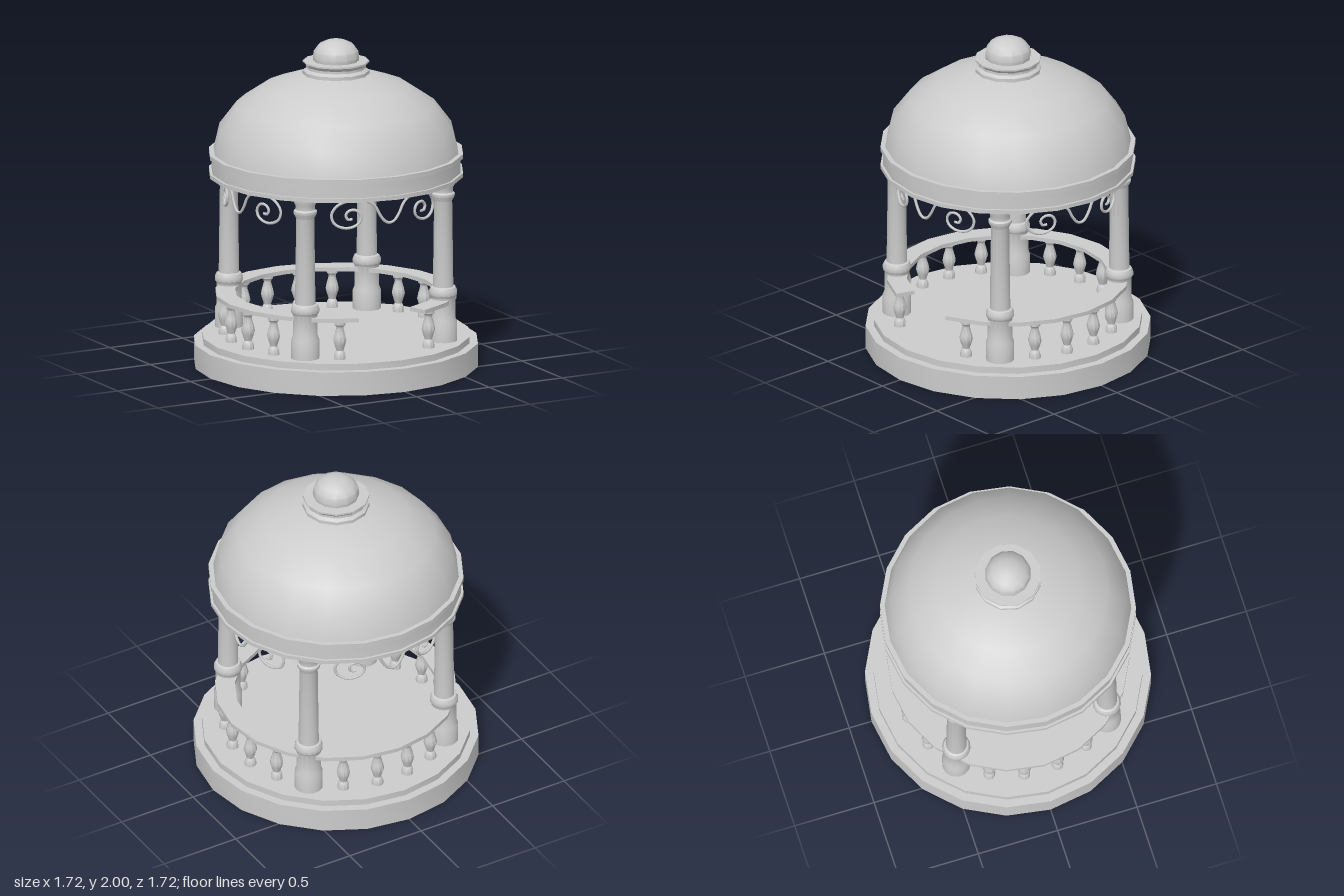
import * as THREE from 'three';
import { toCreasedNormals } from 'three/addons/utils/BufferGeometryUtils.js';

const material = new THREE.MeshStandardMaterial({ color: 0xcccccc });
const thinMaterial = new THREE.MeshStandardMaterial({ color: 0xcccccc, side: THREE.DoubleSide });
const STEP = Math.PI / 10; // one side of the 20-sided plan
const RING = 0.67; // radius carrying columns, balusters and scrolls

// Turned solid from [radius, height] pairs, running upward on the outside
function turned(points, sides, start = 0, length = Math.PI * 2) {
  const profile = points.map(([r, y]) => new THREE.Vector2(r, y));
  return toCreasedNormals(new THREE.LatheGeometry(profile, sides, start, length), 0.6);
}

function add(parent, name, geometry, mat = material) {
  const mesh = new THREE.Mesh(geometry, mat);
  mesh.name = name;
  parent.add(mesh);
  return mesh;
}

// Place a mesh on the ring at an angle measured from the front
function placeOnRing(mesh, angle) {
  mesh.position.set(RING * Math.sin(angle), 0, RING * Math.cos(angle));
  mesh.rotation.y = angle;
}

// Half of a scroll: centre dip, over the top, then spiralling inward
function scrollCurve() {
  const half = [
    [0.03, 1.018], [0.065, 1.06], [0.095, 1.115], [0.135, 1.148], [0.2, 1.16],
    [0.265, 1.157], [0.32, 1.127], [0.348, 1.075], [0.335, 1.022], [0.29, 0.994],
    [0.24, 0.995], [0.195, 1.022], [0.184, 1.062], [0.208, 1.098], [0.25, 1.1],
    [0.272, 1.072], [0.26, 1.045], [0.235, 1.046],
  ];
  const mirrored = half.map(([x, y]) => [-x, y]).reverse();
  const path = [...mirrored, [0, 1.008], ...half];
  // Bend the flat drawing round the ring
  return new THREE.CatmullRomCurve3(
    path.map(([x, y]) => new THREE.Vector3(x, y, Math.sqrt(RING * RING - x * x))));
}

export function createModel() {
  const model = new THREE.Group();
  model.name = 'domedPavilion';

  // Stepped floor, hollow underneath
  add(model, 'steppedBase', turned(
    [[0.86, 0], [0.86, 0.145], [0.81, 0.145], [0.81, 0.185], [0, 0.185]], 20), thinMaterial);

  // Columns
  const columnGeometry = turned([
    [0.085, 0.185], [0.085, 0.3], [0.075, 0.325], [0.075, 0.455], [0.085, 0.47],
    [0.085, 0.495], [0.075, 0.515], [0.062, 0.52], [0.055, 1.05], [0.071, 1.08],
    [0.071, 1.095], [0.06, 1.105], [0.06, 1.13], [0.07, 1.15], [0.07, 1.17],
  ], 16);
  for (let i = 0; i < 4; i++) {
    placeOnRing(add(model, 'column', columnGeometry), Math.PI / 4 + i * Math.PI / 2);
  }

  // Balusters, skipping the columns and the front entrance
  const balusterGeometry = turned([
    [0.036, 0.185], [0.036, 0.205], [0.03, 0.225], [0.022, 0.238], [0.034, 0.275],
    [0.041, 0.3], [0.035, 0.33], [0.022, 0.375], [0.025, 0.388], [0.034, 0.398], [0.034, 0.42],
  ], 10);
  for (let i = 1; i < 19; i++) {
    if (i % 5 === 2) continue; // column bays
    placeOnRing(add(model, 'baluster', balusterGeometry), (i + 0.5) * STEP);
  }

  // Handrail, open at the front
  const rail = new THREE.Group();
  rail.name = 'handrail';
  model.add(rail);
  const [inner, outer, low, high] = [0.61, 0.73, 0.42, 0.445];
  add(rail, 'railBody', turned(
    [[outer, low], [outer, high], [inner, high], [inner, low], [outer, low]], 18, STEP, 18 * STEP));
  for (const side of [-1, 1]) {
    const angle = side * STEP;
    const cap = add(rail, 'railEnd', new THREE.PlaneGeometry(outer - inner, high - low), thinMaterial);
    placeOnRing(cap, angle);
    cap.position.y = (low + high) / 2;
    cap.rotation.y = angle + Math.PI / 2;
  }

  // Wrought scrolls between the column tops
  const scrollGeometry = new THREE.TubeGeometry(scrollCurve(), 130, 0.009, 6);
  for (let i = 0; i < 4; i++) {
    add(model, 'scroll', scrollGeometry, thinMaterial).rotation.y = i * Math.PI / 2;
  }

  // Cornice ring with recessed flat ceiling
  add(model, 'cornice', turned([
    [0, 1.31], [0.6, 1.31], [0.6, 1.17], [0.77, 1.17], [0.77, 1.195], [0.755, 1.195],
    [0.755, 1.285], [0.77, 1.285], [0.77, 1.312], [0.735, 1.312],
  ], 20));

  // Dome
  const domeProfile = [];
  for (let i = 0; i <= 5; i++) {
    domeProfile.push([0.742 * Math.cos(i * STEP), 1.31 + 0.5 * Math.sin(i * STEP)]);
  }
  add(model, 'dome', turned(domeProfile, 20));

  // Finial collar and ball
  add(model, 'finialCollar', turned([
    [0.2, 1.785], [0.2, 1.81], [0.18, 1.825], [0.18, 1.84], [0.2, 1.86], [0.2, 1.87], [0, 1.87],
  ], 12));
  add(model, 'finialBall', turned([
    [0.135, 1.86], [0.14, 1.89], [0.134, 1.93], [0.105, 1.97], [0.055, 1.994], [0, 2],
  ], 12));

  return model;
}
